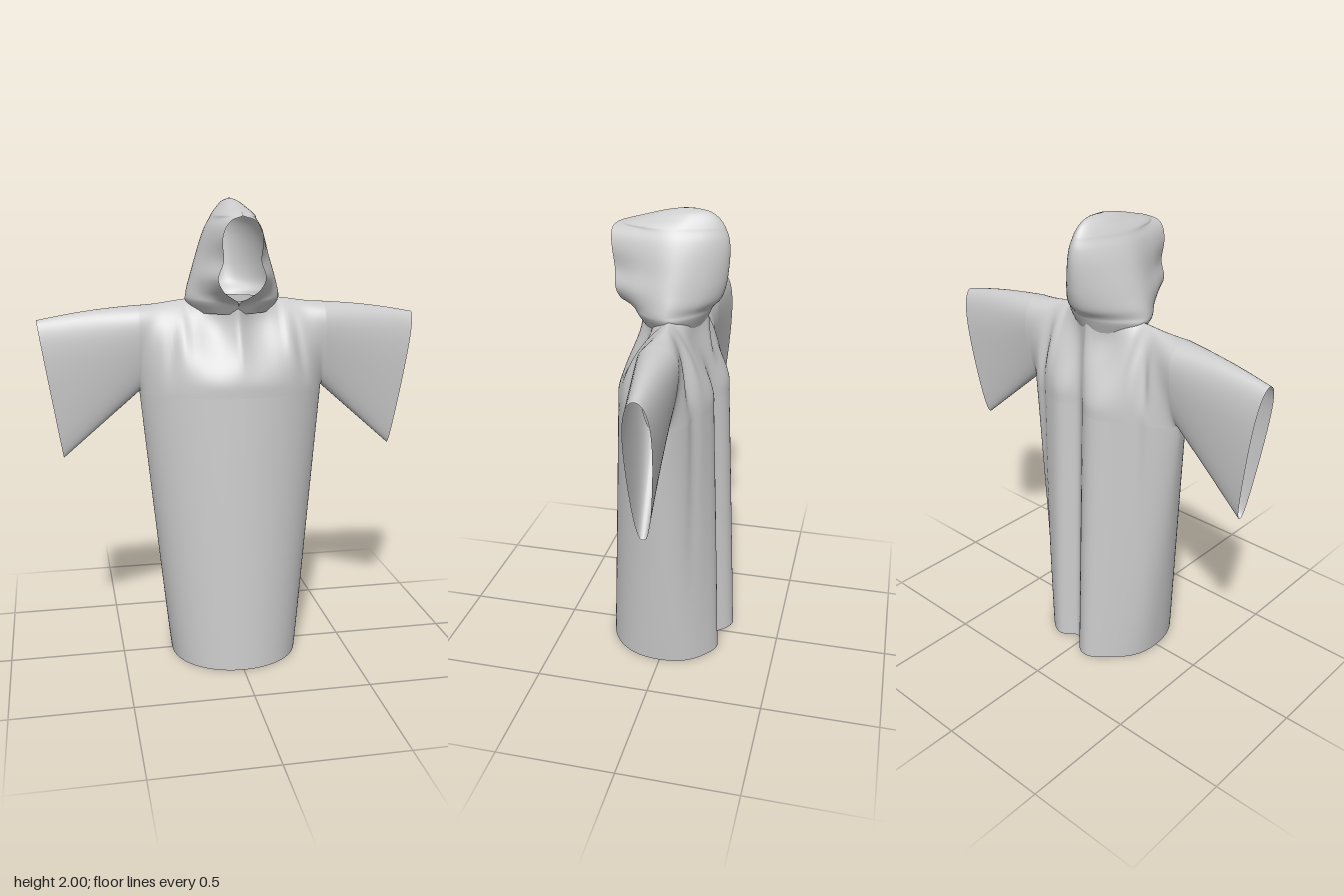
import * as THREE from 'three';
import { mergeGeometries, mergeVertices } from 'three/addons/utils/BufferGeometryUtils.js';

const { lerp, smoothstep } = THREE.MathUtils;
const ARMPIT = 1.2, ARM_X = 0.4, HALF = 40, RISE = 28;

// Surface sampled from f(u, v) -> [x, y, z]
function grid(nu, nv, f) {
  const pos = [], index = [];
  for (let i = 0; i <= nu; i++)
    for (let j = 0; j <= nv; j++) pos.push(...f(i / nu, j / nv));
  for (let i = 0; i < nu; i++)
    for (let j = 0; j < nv; j++) {
      const a = i * (nv + 1) + j, b = a + nv + 1;
      index.push(a, b, a + 1, b, b + 1, a + 1);
    }
  const g = new THREE.BufferGeometry();
  g.setAttribute('position', new THREE.Float32BufferAttribute(pos, 3));
  g.setIndex(index);
  return g;
}

function smooth(parts) {
  const g = mergeVertices(mergeGeometries(parts), 1e-4);
  g.computeVertexNormals();
  return g;
}

const gauss = (x, c, s) => Math.exp(-(((x - c) / s) ** 2));
const ease = (u) => (1 - Math.cos(Math.PI * u)) / 2;
// Half-thickness of a flat hanging sleeve, from its bottom (0) to its top (1)
const sleeveProfile = (t) => 1.1 * t ** 0.38 * Math.sqrt(Math.max(0, 1 - t ** 6));

// Point on the skirt ring at height y; angle 0..PI is the front, PI..2PI the back
function skirtPoint(angle, y, front) {
  const k = y / ARMPIT;
  const w = lerp(0.28, ARM_X, k ** 0.95), mid = -0.03 * k;
  const s = Math.abs(Math.sin(angle)), x = -w * Math.cos(angle);
  if (front) {
    return [x, y, mid + (lerp(0.275, 0.225, k) - mid) * s ** lerp(0.9, 1.25, k)];
  }
  // two hanging folds with a soft groove between them
  const depth = lerp(0.25, 0.205, k) + mid;
  const fold = 0.038 * gauss(x, -0.1, 0.08) + 0.012 * gauss(x, 0.14, 0.06)
    - 0.055 * gauss(x, 0.035, 0.05) - 0.025 * k * gauss(Math.abs(x), 0.27, 0.03);
  return [x, y, mid - (depth + fold * lerp(1, 0.75, k)) * s ** lerp(0.8, 1.15, k)];
}

const shoulderY = (x) => 1.59 - 0.025 * smoothstep(Math.abs(x), 0.15, ARM_X);

// Chest and back sheets, rising from the skirt to the shoulder line and neck hole
function torsoPoint(angle, t, front) {
  const [x, , base] = skirtPoint(angle, ARMPIT, front);
  const ax = Math.abs(x), mid = -0.03, side = front ? 1 : -1;
  const neck = Math.max(0, 1 - ax / 0.19) ** 0.8;
  const top = (front ? 0.16 : 0.12) * neck;
  const chest = 1 - smoothstep(t, 0.1, 0.85);
  const drape = Math.max(0, 1 - t ** 2.2) ** 0.75;
  const body = lerp(top, Math.abs(base - mid), lerp(chest, drape, smoothstep(ax, 0.05, 0.25)));
  const arm = smoothstep(ax, 0.15, ARM_X) * 0.095 * sleeveProfile(t) * t ** (4 * (ARM_X - ax));
  // throat fold and creases running up from the armpits
  const fade = Math.sin(Math.PI * t) ** 2 * (1 - smoothstep(ax, 0.34, ARM_X));
  const crease = fade * (0.02 * gauss(x, 0.01, 0.03) * t * t - 0.016 * gauss(ax, 0.3 - 0.06 * t, 0.025));
  return [x, lerp(ARMPIT, shoulderY(x), t), mid + side * (Math.cbrt(body ** 3 + arm ** 3) + crease)];
}

// Wide sleeve ending in a slanted cuff
function sleeve(m) {
  return grid(RISE * 2, 28, (u0, s) => {
    const u = m > 0 ? u0 : 1 - u0;
    const t = ease(u * 2);
    const side = u < 0.5 ? -1 : 1;
    const sag = 0.008 * Math.sin(Math.PI * s);
    const x = lerp(lerp(ARM_X, 0.73, s), lerp(ARM_X, 0.82, s), t);
    const y = lerp(lerp(ARMPIT, 0.91, s), lerp(shoulderY(ARM_X), 1.508, s) + sag, t);
    const z = lerp(-0.03, -0.056, s) + side * lerp(0.095, 0.06, s) * sleeveProfile(t);
    return [m * x, y, z];
  });
}

function robeGeometry() {
  const parts = [sleeve(1), sleeve(-1)];
  for (const front of [true, false]) {
    const angle = (u) => Math.PI * (front ? u : 1 + u);
    parts.push(grid(HALF * 2, 24, (u, v) => skirtPoint(angle(u), v * ARMPIT, front)));
    parts.push(grid(HALF * 2, RISE, (u, v) => torsoPoint(angle(u), ease(v), front)));
  }
  return smooth(parts);
}

// Hood: horizontal sections [y, half width, front z, back z, half opening]
const HOOD = [
  [1.535, 0.17, 0.115, -0.135, 0],
  [1.585, 0.2, 0.15, -0.158, 0.003],
  [1.605, 0.2, 0.18, -0.168, 0.03],
  [1.64, 0.193, 0.205, -0.2, 0.075],
  [1.69, 0.178, 0.218, -0.218, 0.097],
  [1.76, 0.157, 0.224, -0.228, 0.076],
  [1.84, 0.132, 0.232, -0.232, 0.082],
  [1.89, 0.112, 0.238, -0.226, 0.07],
  [1.92, 0.095, 0.238, -0.215, 0.045],
  [1.935, 0.086, 0.222, -0.208, 0.002],
  [1.965, 0.058, 0.12, -0.185, 0],
  [1.988, 0.032, 0.03, -0.15, 0],
  [2.0, 0.003, -0.04, -0.09, 0],
];

function hoodGeometry() {
  const nu = 64, nv = 60;
  const sections = HOOD.map(([y, w, zf, zb, e]) => {
    const zm = lerp(zf, zb, 0.55);
    // closed sections are rounder at the front than open ones
    const taper = lerp(0.2, 0.45, Math.min(1, e / 0.045));
    const half = [
      [e, zf],
      [lerp(e, w, 0.6), lerp(zf, zm, taper)],
      [w, zm],
      [w * 0.68, lerp(zm, zb, 0.58)],
      [w * 0.25, lerp(zm, zb, 0.93)],
    ];
    const mirrored = half.map(([x, z]) => [-x, z]).reverse();
    return new THREE.CatmullRomCurve3([...half, [0, zb], ...mirrored].map(([x, z]) => new THREE.Vector3(x, y, z)));
  });
  const columns = [];
  for (let i = 0; i <= nu; i++) {
    columns.push(new THREE.CatmullRomCurve3(sections.map((c) => c.getPoint(i / nu))));
  }
  return smooth([grid(nu, nv, (u, v) => {
    const p = columns[Math.round(u * nu)].getPoint(v);
    return [p.x, Math.min(p.y, 2), p.z];
  })]);
}

export function createModel() {
  const group = new THREE.Group();
  group.name = 'hoodedRobe';
  const cloth = new THREE.MeshStandardMaterial({ color: 0xcccccc, side: THREE.DoubleSide });
  const add = (name, geometry) => {
    const mesh = new THREE.Mesh(geometry, cloth);
    mesh.name = name;
    group.add(mesh);
  };
  add('robeWithSleeves', robeGeometry());
  add('hood', hoodGeometry());
  return group;
}
